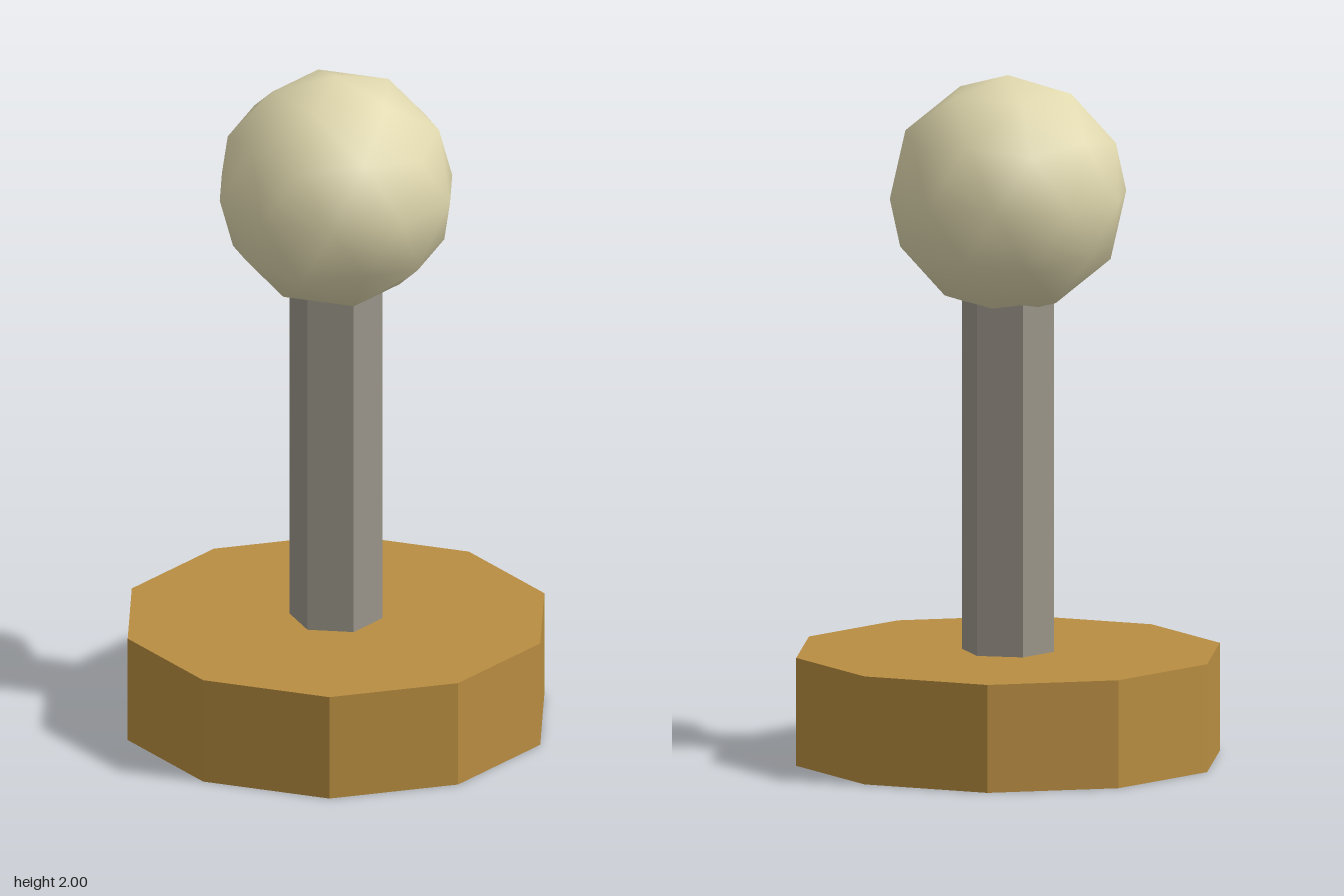
import * as THREE from 'three';

const ochre = new THREE.MeshStandardMaterial({ color: 0xb88d41, flatShading: true });
ochre.name = 'ochre base';
const grey = new THREE.MeshStandardMaterial({ color: 0x9a958a, flatShading: true });
grey.name = 'warm grey shaft';
const cream = new THREE.MeshStandardMaterial({ color: 0xe0d8ae });
cream.name = 'cream knob';

// Upright prism between two heights, with a corner on +z
function prism(name, radius, bottom, top, sides, material) {
  const geometry = new THREE.CylinderGeometry(radius, radius, top - bottom, sides);
  geometry.translate(0, (bottom + top) / 2, 0);
  const mesh = new THREE.Mesh(geometry, material);
  mesh.name = name;
  return mesh;
}

export function createModel() {
  const group = new THREE.Group();
  group.name = 'ballTopLever';

  // Ten-sided foot and six-sided shaft that ends inside the knob
  group.add(prism('base', 0.627, 0, 0.316, 10, ochre));
  group.add(prism('shaft', 0.135, 0.3, 1.5, 6, grey));

  // Smooth-shaded icosphere, turned so one corner points up and the next leans to +x
  const ball = new THREE.IcosahedronGeometry(0.35, 1);
  ball.rotateX(-Math.atan((1 + Math.sqrt(5)) / 2));
  ball.rotateY(Math.PI / 2);
  ball.translate(0, 1.65, 0);
  const knob = new THREE.Mesh(ball, cream);
  knob.name = 'knob';
  group.add(knob);

  return group;
}
